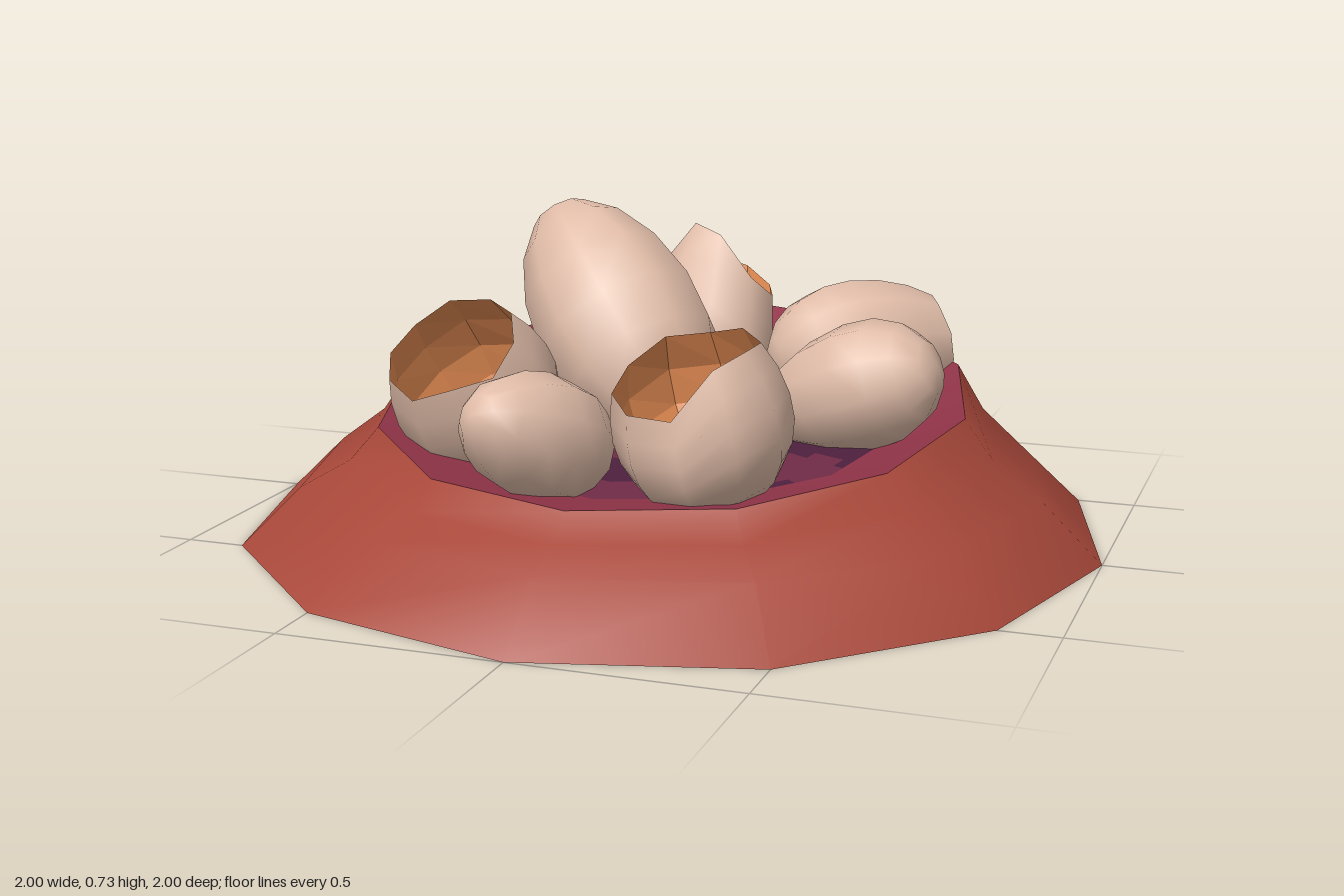
import * as THREE from 'three';
import { mergeVertices } from 'three/addons/utils/BufferGeometryUtils.js';

const mat = (name, color, opts = {}) =>
  Object.assign(new THREE.MeshStandardMaterial({ color, ...opts }), { name });

// Grid surface closed around the y axis; point(a, v) gives [x, y, z] for angle a and row v.
// tint(x, z), when given, picks the material index of each cell.
function loft(point, sides, rows, inward = false, tint = null) {
  const pos = [], lists = [[], []];
  for (let v = 0; v <= rows; v++)
    for (let u = 0; u < sides; u++) pos.push(...point((u / sides) * Math.PI * 2, v, u));
  for (let v = 0; v < rows; v++) {
    for (let u = 0; u < sides; u++) {
      const a = v * sides + u, b = v * sides + ((u + 1) % sides);
      const c = a + sides, d = b + sides;
      const k = tint ? tint((pos[a * 3] + pos[d * 3]) / 2, (pos[a * 3 + 2] + pos[d * 3 + 2]) / 2) : 0;
      lists[k].push(...(inward ? [a, b, c, b, d, c] : [a, c, b, b, c, d]));
    }
  }
  let geo = new THREE.BufferGeometry();
  geo.setAttribute('position', new THREE.Float32BufferAttribute(pos, 3));
  geo.setIndex([...lists[0], ...lists[1]]);
  geo = mergeVertices(geo, 1e-4);
  geo.computeVertexNormals();
  if (tint) {
    geo.addGroup(0, lists[0].length, 0);
    geo.addGroup(lists[0].length, lists[1].length, 1);
  }
  return geo;
}

// Ring point whose height falls toward the front
const ring = (a, r, y, slope) => {
  const z = Math.sin(a) * r;
  return [Math.cos(a) * r, y - slope * z, z];
};

export function createModel() {
  const group = new THREE.Group();
  const two = { side: THREE.DoubleSide };
  const clay = mat('clay red', 0xa8483a, two);
  const wallMat = mat('nest wall plum', 0x8f3348, two);
  const midMat = mat('nest floor plum', 0x6e2b45, two);
  const darkMat = mat('nest floor dark plum', 0x4c1f3d, two);
  const shellMat = mat('eggshell', 0xe0bca8, two);
  const innerMat = mat('inner shell orange', 0xe38b52, { ...two, flatShading: true });
  const yolkMat = mat('yolk yellow', 0xd9c56c, two);

  const add = (parent, name, geo, material) => {
    const m = new THREE.Mesh(geo, material);
    m.name = name;
    parent.add(m);
    return m;
  };

  // Mound: twelve-sided open skirt with a tilted rim
  const mound = [[1, 0, 0], [0.865, 0.13, 0], [0.75, 0.215, 0.07], [0.685, 0.307, 0.13]];
  add(group, 'mound', loft((a, v) => ring(a, ...mound[v]), 12, 3), clay);

  // Nest wall between the rim and the floor
  const wall = [[0.52, 0.25, 0.1], [0.685, 0.307, 0.13]];
  add(group, 'nestWall', loft((a, v) => ring(a, ...wall[v]), 12, 1, true), wallMat);

  // Nest floor with lighter blotches: x, z, radius
  const blotches = [[-0.36, -0.18, 0.24], [0.14, -0.2, 0.11], [0.32, -0.5, 0.08], [-0.08, 0.24, 0.06],
    [0.38, 0.24, 0.09], [0.5, -0.12, 0.07], [-0.3, 0.48, 0.1], [0.03, 0.48, 0.08]];
  const tint = (x, z) => (blotches.some(([bx, bz, r]) => Math.hypot(x - bx, z - bz) < r) ? 0 : 1);
  const step = Math.PI / 6;
  const floorPoint = (a, v) => {
    const facet = Math.cos(step / 2) / Math.cos((a % step) - step / 2);
    return ring(a, (0.52 * facet * v) / 20, 0.25, 0.1);
  };
  add(group, 'nestFloor', loft(floorPoint, 72, 20, true, tint), [midMat, darkMat]);

  // Point on an egg: t runs from the bottom pole (0) to the top pole (PI)
  const eggPoint = (e, a, t, scale) => {
    const c = -Math.cos(t);
    const r = e.r * Math.sin(t) * (1 - (e.taper ?? 0.1) * c) * scale;
    return [Math.cos(a) * r, c * (c < 0 ? e.down : e.up) * scale, Math.sin(a) * r * (e.stretch ?? 1)];
  };
  const SIDES = 10;

  function makeEgg(e) {
    const g = new THREE.Group();
    g.name = e.name;
    const end = (u) => (e.rim ? Math.acos(-e.rim[u % e.rim.length]) : Math.PI);
    add(g, 'shell', loft((a, v, u) => eggPoint(e, a, (end(u) * v) / 8, 1), SIDES, 8), shellMat);
    if (e.rim) {
      // Inner lining meets the shell along the broken rim
      const start = 0.62;
      const inner = (a, v, u) => {
        const t = start + ((end(u) - start) * v) / 4;
        return eggPoint(e, a, t, 0.9 + 0.1 * (v / 4));
      };
      add(g, 'lining', loft(inner, SIDES, 4, true), innerMat);
      const cap = (a, v) => eggPoint(e, a, (start * v) / 2, 0.9);
      add(g, 'yolk', loft(cap, SIDES, 2, true), e.yolk ? yolkMat : innerMat);
    }
    const dir = new THREE.Vector3(...e.dir).normalize();
    g.quaternion.setFromUnitVectors(new THREE.Vector3(0, 1, 0), dir);
    if (e.turn) g.rotateY(e.turn);
    g.position.set(...e.at);
    group.add(g);
  }

  // Whole eggs, then broken eggs whose rim lists the height of the break around the shell
  [
    { name: 'largeEgg', at: [-0.16, 0.46, -0.06], dir: [-0.6, 0.7, -0.35], r: 0.205, down: 0.32, up: 0.34 },
    { name: 'leftEgg', at: [0.45, 0.37, 0.04], dir: [-0.9, -0.35, -0.15], r: 0.145, down: 0.2, up: 0.24 },
    { name: 'frontEgg', at: [-0.13, 0.325, 0.52], dir: [-0.35, 0.4, 0.85], r: 0.14, down: 0.2, up: 0.2 },
    { name: 'backLeftBrokenEgg', at: [0.36, 0.375, -0.32], dir: [0.78, 0.06, -0.62], r: 0.17,
      down: 0.23, up: 0.27, rim: [0.68, 0.72, 0.7, 0.66, 0.72] },
    { name: 'backBrokenEgg', at: [-0.06, 0.37, -0.43], dir: [0, 0.93, -0.37], r: 0.165, yolk: true,
      down: 0.17, up: 0.36, rim: [0.28, 0.35, 0.62, 0.7, 0.4, 0.3, 0.35, 0.6, 0.55, 0.4] },
    { name: 'frontRightBrokenEgg', at: [-0.385, 0.36, 0.275], dir: [-0.15, 0.78, 0.55], r: 0.19, yolk: true,
      down: 0.23, up: 0.25, rim: [0.5, 0.46, 0.54, 0.48, 0.52] },
    { name: 'frontLeftBrokenEgg', at: [0.2, 0.37, 0.4], dir: [-0.15, 0.95, 0.13], r: 0.195, yolk: true,
      stretch: 1.25, turn: 0.35, down: 0.21, up: 0.24,
      rim: [0.55, 0.62, 0.6, 0.28, 0.3, 0.35, 0.42, 0.55, 0.5, 0.58] },
  ].forEach(makeEgg);

  return group;
}
